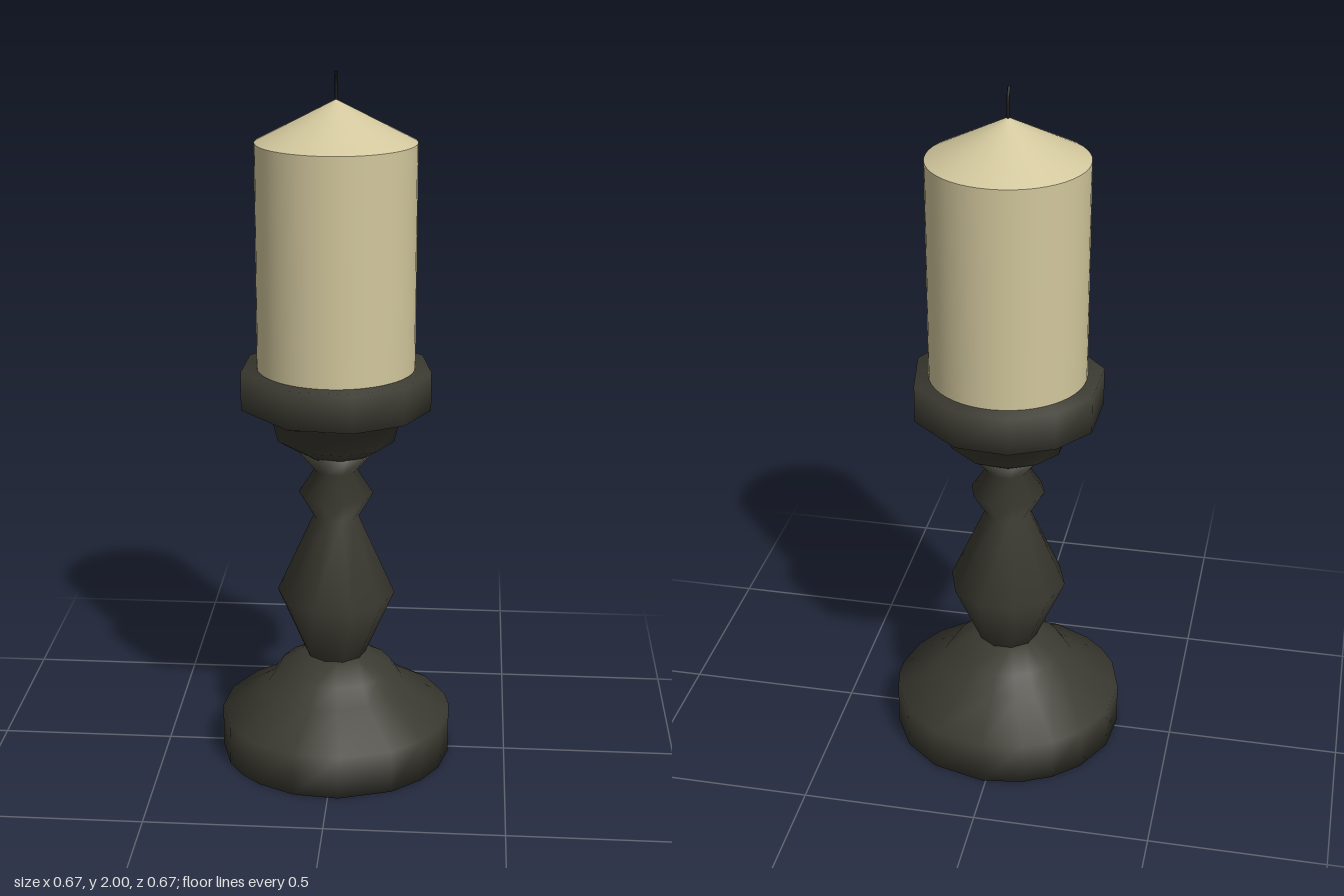
import * as THREE from 'three';

const material = (name, color) => new THREE.MeshStandardMaterial({ name, color });

// Smooth turned solid with hand-cut, uneven facets; profile is [radius, y] from bottom to top,
// corners are the facet angles in degrees, measured from +x towards +z.
function turned(profile, corners) {
  const n = corners.length, pos = [], index = [];
  for (const [r, y] of profile) {
    for (const c of corners) {
      const a = THREE.MathUtils.degToRad(c);
      pos.push(r * Math.cos(a), y, r * Math.sin(a));
    }
  }
  for (let j = 0; j < profile.length - 1; j++) {
    for (let i = 0; i < n; i++) {
      const a = j * n + i, b = j * n + (i + 1) % n;
      index.push(a, a + n, b, b, a + n, b + n);
    }
  }
  // close both ends with a fan
  const last = (profile.length - 1) * n, low = pos.length / 3, high = low + 1;
  pos.push(0, profile[0][1], 0, 0, profile.at(-1)[1], 0);
  for (let i = 0; i < n; i++) {
    const k = (i + 1) % n;
    index.push(low, i, k, high, last + k, last + i);
  }
  const geometry = new THREE.BufferGeometry();
  geometry.setAttribute('position', new THREE.Float32BufferAttribute(pos, 3));
  geometry.setIndex(index);
  geometry.computeVertexNormals();
  return geometry;
}

export function createModel() {
  const model = new THREE.Group();
  model.name = 'candleHolder';
  const dark = material('darkWood', 0x3b3a31);
  const wax = material('creamWax', 0xd2c79d);
  const soot = material('wickBlack', 0x1c1c1a);

  const add = (name, geometry, mat) => {
    const mesh = new THREE.Mesh(geometry, mat);
    mesh.name = name;
    model.add(mesh);
  };

  // wide foot
  const footCorners = [-5, 4, 23, 39, 58, 85, 107, 127, 140, 153, 175, 197, 219, 236, 252, 272, 299, 321, 343];
  add('foot', turned([[0.335, 0], [0.335, 0.125], [0.2, 0.205], [0.165, 0.26], [0.085, 0.305]], footCorners), dark);

  // baluster stem with a small bead
  const stemCorners = Array.from({ length: 10 }, (_, i) => i * 36);
  add('stem', turned([
    [0.085, 0.3], [0.17, 0.495], [0.065, 0.73], [0.107, 0.8], [0.062, 0.87], [0.115, 0.935],
  ], stemCorners), dark);

  // cup that carries the candle
  const cupCorners = [9, 43, 76, 115, 163, 201, 230, 259, 291, 331];
  add('cup', turned([
    [0.11, 0.93], [0.168, 0.965], [0.185, 1.035], [0.272, 1.065], [0.272, 1.175],
  ], cupCorners), dark);

  // candle body and its pointed top, kept separate for a crisp edge
  const body = new THREE.CylinderGeometry(0.222, 0.222, 0.64, 48, 1, true);
  add('candleBody', body.translate(0, 1.485, 0), wax);
  const tip = new THREE.ConeGeometry(0.222, 0.115, 48, 1, true);
  add('candleTip', tip.translate(0, 1.8625, 0), wax);

  // bent wick
  const path = new THREE.CatmullRomCurve3([
    new THREE.Vector3(0, 1.9, 0),
    new THREE.Vector3(0, 1.94, -0.003),
    new THREE.Vector3(0, 1.975, 0),
    new THREE.Vector3(0, 1.998, 0.012),
  ]);
  add('wick', new THREE.TubeGeometry(path, 10, 0.004, 6), soot);

  return model;
}
